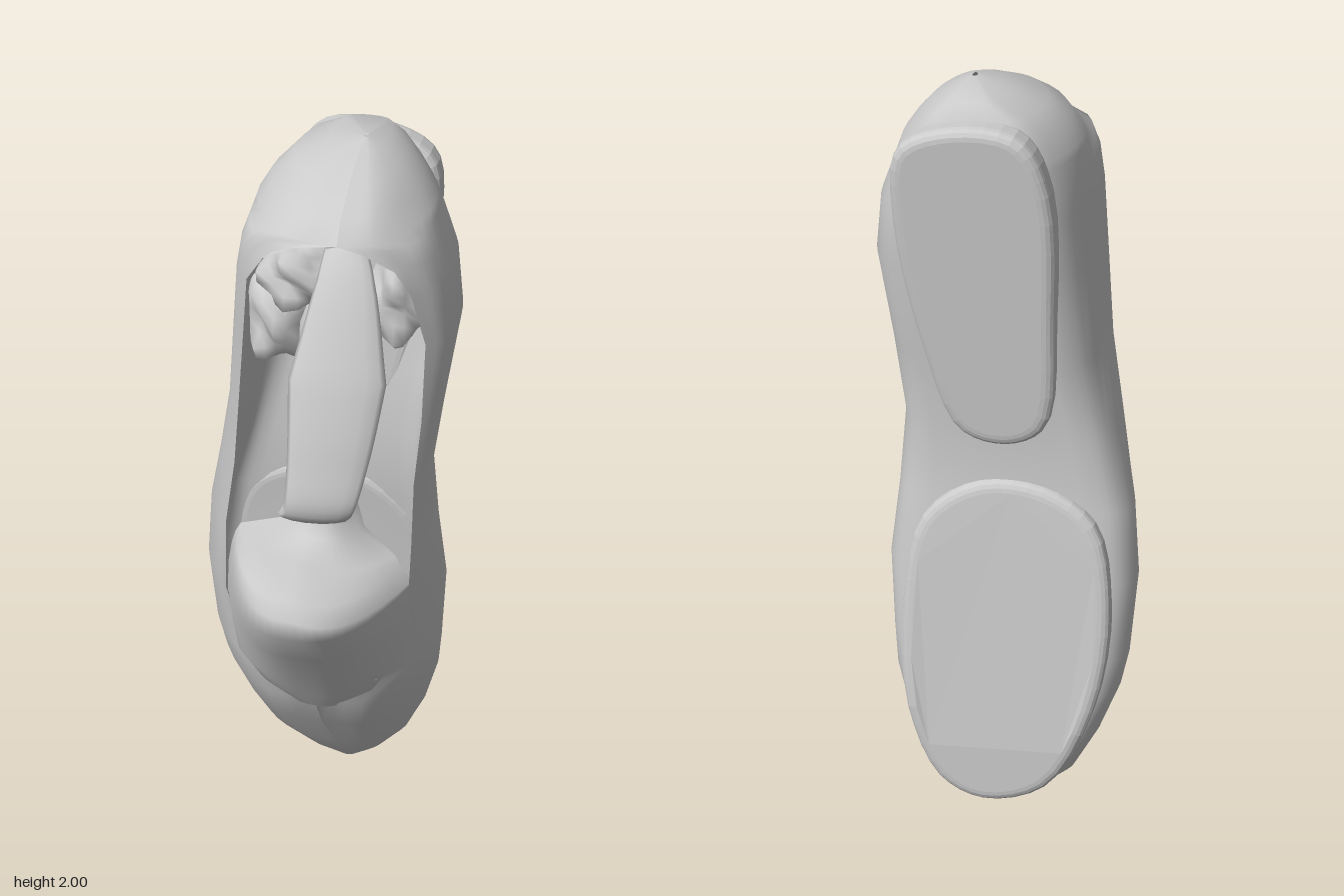
import * as THREE from 'three';

const material = new THREE.MeshStandardMaterial({ color: 0xcccccc, side: THREE.DoubleSide });
const V = (x, y, z) => new THREE.Vector3(x, y, z);

// Skin a list of equally long point rings
function loft(rings, closed) {
  const n = rings[0].length, pos = [], index = [];
  rings.forEach(r => r.forEach(p => pos.push(p.x, p.y, p.z)));
  for (let i = 0; i < rings.length - 1; i++) {
    for (let j = 0; j < (closed ? n : n - 1); j++) {
      const a = i * n + j, b = i * n + (j + 1) % n;
      index.push(a, a + n, b, b, a + n, b + n);
    }
  }
  const g = new THREE.BufferGeometry();
  g.setAttribute('position', new THREE.Float32BufferAttribute(pos, 3));
  g.setIndex(index);
  g.computeVertexNormals();
  return g;
}

// Upper: height, left, right, depth of widest point, opening left, opening right, front, back
const upperRows = [
  [0.005, 0.01, 0.06, -0.23, 0.03, 0.03, -0.21, -0.25],
  [0.05, -0.1, 0.13, -0.23, 0.03, 0.03, -0.17, -0.3],
  [0.13, -0.2, 0.2, -0.22, 0.02, 0.02, -0.11, -0.31],
  [0.25, -0.265, 0.255, -0.21, 0, 0, -0.03, -0.31],
  [0.38, -0.315, 0.29, -0.2, 0, 0, 0.055, -0.3],
  [0.48, -0.335, 0.3, -0.19, -0.17, 0.17, 0.05, -0.29],
  [0.7, -0.35, 0.31, -0.18, -0.25, 0.245, 0.03, -0.27],
  [0.9, -0.33, 0.29, -0.15, -0.25, 0.25, 0.02, -0.24],
  [1.1, -0.28, 0.28, -0.1, -0.22, 0.255, 0.03, -0.23],
  [1.3, -0.24, 0.31, -0.05, -0.2, 0.275, 0.05, -0.25],
  [1.55, -0.215, 0.348, -0.03, -0.17, 0.29, 0.1, -0.275],
];
const heelRows = [
  [1.7, -0.2, 0.33, -0.03, -0.15, 0.26, 0.14, -0.285],
  [1.78, -0.188, 0.3, -0.03, -0.1, 0.225, 0.175, -0.285],
  [1.83, -0.172, 0.28, -0.03, -0.02, 0.15, 0.2, -0.285],
  [1.85, -0.165, 0.27, -0.03, 0.09, 0.09, 0.21, -0.285],
  [1.9, -0.135, 0.235, -0.05, 0.09, 0.09, 0.165, -0.28],
  [1.95, -0.085, 0.19, -0.08, 0.09, 0.09, 0.07, -0.27],
  [1.985, 0, 0.14, -0.12, 0.09, 0.09, -0.03, -0.245],
  [2, 0.085, 0.1, -0.1, 0.095, 0.095, -0.09, -0.115],
];

// Horizontal wall section, pulled inward by an inset for the lining
function wall([y, xl, xr, zm, xa, xb, zf, zb], inset) {
  const w = xr - xl, t = Math.min(inset, w * 0.1);
  let [fx, fz] = y < 1 ? [0.42, 0.6] : [0.25, 0.7];
  if (xa === xb) [fx, fz] = [0.45, 0.84];
  const half = (x, edge, s) => [
    V(edge, y, zf),
    V(x + (edge - x) * fx + s * t * 0.7, y, zm + (zf - zm) * fz - t * 0.5),
    V(x + s * t, y, zm),
    V(x + s * (w * 0.05 + t), y, zm + (zb - zm) * 0.7 + t * 0.5),
    V(x + s * (w * 0.18 + t * 0.5), y, zb + t),
  ];
  const pts = [...half(xl, xa, 1), ...half(xr, xb, -1).reverse()];
  return new THREE.CatmullRomCurve3(pts, false, 'centripetal').getPoints(36);
}

// Flattened band along a path of [x, y, z, half width, half thickness]
function band(path, tilt) {
  const curve = new THREE.CatmullRomCurve3(path.map(p => V(p[0], p[1], p[2])));
  const rings = [], steps = 6 * (path.length - 1);
  for (let i = 0; i <= steps; i++) {
    const u = i / steps, k = Math.min(path.length - 2, Math.floor(u * (path.length - 1)));
    const f = u * (path.length - 1) - k;
    const size = c => THREE.MathUtils.lerp(path[k][c], path[k + 1][c], f);
    const c = curve.getPoint(u), d = curve.getTangent(u);
    const nrm = V(0, -d.z, d.y).normalize();
    const cap = i === 0 || i === steps ? 0.05 : 1;
    rings.push(Array.from({ length: 14 }, (_, j) => {
      const a = j / 14 * Math.PI * 2, x = Math.cos(a) * size(3) * cap;
      const p = V(c.x + x, c.y, c.z - x * tilt);
      return p.addScaledVector(nrm, Math.sin(a) * size(4) * cap);
    }));
  }
  return loft(rings, true);
}

// Sole slab: outline in x and y, its faces following back(y) and front(y)
function sole(outline, back, front) {
  const curve = new THREE.CatmullRomCurve3(outline.map(([x, y]) => V(x, y, 0)), true);
  const shape = new THREE.Shape(curve.getPoints(44).slice(0, -1).map(p => new THREE.Vector2(p.x, p.y)));
  const g = new THREE.ExtrudeGeometry(shape, {
    depth: 0.4, bevelThickness: 0.3, bevelSize: 0.03, bevelOffset: -0.03, bevelSegments: 4,
  });
  const p = g.attributes.position;
  for (let i = 0; i < p.count; i++) {
    const y = p.getY(i);
    p.setZ(i, THREE.MathUtils.lerp(back(y), front(y), p.getZ(i) + 0.3));
  }
  g.computeVertexNormals();
  return g;
}

// Crumpled lump of lining
function crumple(seed) {
  const g = new THREE.SphereGeometry(1, 16, 12), p = g.attributes.position;
  for (let i = 0; i < p.count; i++) {
    const x = p.getX(i), y = p.getY(i), z = p.getZ(i);
    const s = 1 + 0.22 * Math.sin(4 * x + seed) * Math.sin(5 * y + seed * 2) + 0.12 * Math.sin(6 * z + 3 * y);
    p.setXYZ(i, x * s, y * s, z * s);
  }
  g.computeVertexNormals();
  return g;
}

export function createModel() {
  const model = new THREE.Group();
  const add = (name, geometry) => {
    const mesh = new THREE.Mesh(geometry, material);
    mesh.name = name;
    model.add(mesh);
    return mesh;
  };

  // Double walled upper with its foot opening
  const rows = [...upperRows, ...heelRows];
  add('upper', loft(rows.map(r => [...wall(r, 0), ...wall(r, 0.03).reverse()]), true));

  // Soles
  const frontBack = y => -0.335 + Math.max(0, y - 0.3) * 0.105;
  add('frontSole', sole([[0.03, 0.035], [0.15, 0.09], [0.235, 0.3], [0.25, 0.6], [0.2, 0.85], [0.05, 0.965],
    [-0.12, 0.965], [-0.25, 0.88], [-0.3, 0.65], [-0.265, 0.35], [-0.14, 0.1]],
  frontBack, y => frontBack(y) + 0.065));
  add('heel', sole([[-0.02, 1.08], [0.1, 1.11], [0.19, 1.35], [0.25, 1.7], [0.23, 1.88], [0.09, 1.945],
    [-0.07, 1.93], [-0.14, 1.8], [-0.15, 1.45], [-0.12, 1.14]],
  y => -0.265 - (y - 1.08) * 0.09, y => -0.215 - (y - 1.08) * 0.04));

  // Tongue: height, left, right, edge depth, front depth; folds back into the neck
  const tongue = [
    [0.36, -0.08, 0.08, 0.01, 0.045], [0.42, -0.16, 0.15, 0.02, 0.085], [0.5, -0.22, 0.2, 0.02, 0.135],
    [0.65, -0.255, 0.25, 0, 0.235], [0.77, -0.25, 0.25, 0, 0.325], [0.83, -0.24, 0.25, 0, 0.33],
    [0.865, -0.23, 0.22, 0, 0.29], [0.88, -0.22, 0.2, -0.02, 0.14], [0.9, -0.1, 0.11, -0.05, 0.04],
    [1.04, -0.05, 0.07, -0.06, 0.03],
  ];
  add('tongue', loft(tongue.map(([y, xl, xr, ze, zf]) => Array.from({ length: 21 }, (_, i) => {
    const t = i / 10 - 1, x = xl + (xr - xl) * (t + 1) / 2;
    const drop = y > 0.8 && y < 0.89 ? 0.2 * Math.max(0, x) : 0;
    return V(x, y - drop, ze + (zf - ze) * (1 - Math.abs(t) ** 2.6));
  })), false));

  // Strap looping out of the opening and back to the neck
  add('strap', band([[0.09, 1.8, 0.1, 0.05, 0.02], [0.1, 1.73, 0.15, 0.07, 0.02], [0.1, 1.5, 0.24, 0.12, 0.03],
    [0.09, 1.3, 0.3, 0.1, 0.022], [0.07, 1.165, 0.32, 0.085, 0.016], [0.04, 1.12, 0.26, 0.085, 0.018],
    [0.03, 1.085, 0.13, 0.075, 0.03], [0.03, 1.06, 0.03, 0.06, 0.04], [0.02, 0.98, -0.02, 0.05, 0.03]], 0.1));
  add('innerStrip', band([[-0.03, 1, 0, 0.02, 0.03], [-0.04, 1.25, 0.01, 0.015, 0.03],
    [-0.02, 1.6, 0.03, 0.02, 0.03]], 0));

  // Crumpled lining in the heel
  [[-0.1, 1.53, -0.01, 0.08, 0.12, 0.09], [-0.03, 1.69, 0.03, 0.1, 0.09, 0.1], [0.21, 1.65, 0.02, 0.08, 0.12, 0.1]]
    .forEach(([x, y, z, sx, sy, sz], i) => {
      const lump = add('crumpledLining', crumple(i * 1.7 + 1));
      lump.position.set(x, y, z);
      lump.scale.set(sx, sy, sz);
    });
  return model;
}
